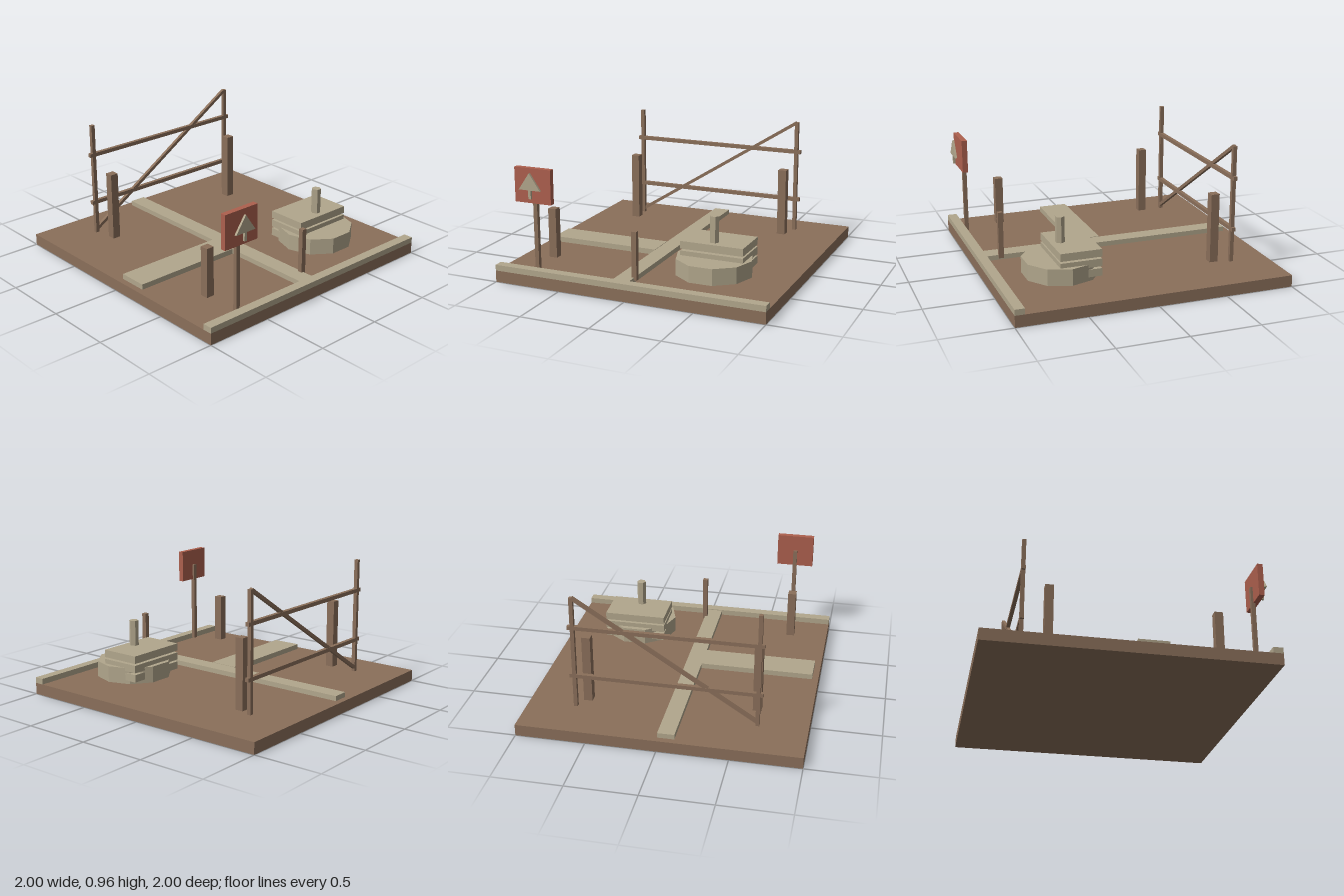
import * as THREE from 'three';

export function createModel() {
  const model = new THREE.Group();
  model.name = 'yard';

  const makeMaterial = (name, color) => {
    const m = new THREE.MeshStandardMaterial({ color, flatShading: true });
    m.name = name;
    return m;
  };
  const earth = makeMaterial('earth brown', 0x8a6f5a);
  const sand = makeMaterial('pale sand', 0xb1a68c);
  const red = makeMaterial('brick red', 0xad604e);

  const add = (name, geometry, material, x = 0, y = 0, z = 0, parent = model) => {
    const mesh = new THREE.Mesh(geometry, material);
    mesh.name = name;
    mesh.position.set(x, y, z);
    parent.add(mesh);
    return mesh;
  };
  // Box given by its minimum and maximum on each axis
  const box = (name, material, [x0, x1], [y0, y1], [z0, z1], parent = model) =>
    add(name, new THREE.BoxGeometry(x1 - x0, y1 - y0, z1 - z0), material,
      (x0 + x1) / 2, (y0 + y1) / 2, (z0 + z1) / 2, parent);
  // Square upright post
  const post = (name, x, z, size, y0, y1, parent = model) =>
    box(name, earth, [x - size / 2, x + size / 2], [y0, y1], [z - size / 2, z + size / 2], parent);

  // Ground slab, front kerb and the two paths
  box('ground', earth, [-1, 1], [0, 0.084], [-1, 1]);
  box('kerb', sand, [-1, 1], [0.084, 0.126], [0.93, 1]);
  box('longPath', sand, [-0.12, 0], [0.084, 0.12], [-0.955, 0.93]);
  box('crossPath', sand, [-0.955, -0.12], [0.084, 0.123], [0.03, 0.245]);

  // Free-standing posts: x, z, size, bottom, top
  [
    [-0.623, -0.512, 0.06, 0.12, 0.625],
    [0.582, -0.58, 0.062, 0.1, 0.605],
    [-0.72, 0.65, 0.06, 0.12, 0.48],
    [0, 0.825, 0.036, 0.1, 0.445],
  ].forEach(([x, z, size, y0, y1]) => post('post', x, z, size, y0, y1));

  // Braced frame at the back
  const frame = new THREE.Group();
  frame.name = 'backFrame';
  model.add(frame);
  const frameZ = -0.697;
  for (const x of [-0.65, 0.645]) post('framePost', x, frameZ, 0.028, 0.105, 0.955, frame);
  for (const y of [0.35, 0.726]) {
    box('rail', earth, [-0.685, 0.68], [y - 0.014, y + 0.014], [frameZ - 0.014, frameZ + 0.014], frame);
  }
  const start = new THREE.Vector2(-0.65, 0.13);
  const end = new THREE.Vector2(0.642, 0.952);
  const span = end.clone().sub(start);
  const brace = add('diagonalBrace', new THREE.BoxGeometry(span.length(), 0.024, 0.024), earth,
    (start.x + end.x) / 2, (start.y + end.y) / 2, frameZ, frame);
  brace.rotation.z = span.angle();

  // Ten-sided plinth with stacked slabs and a hexagonal pin
  const plinth = new THREE.Group();
  plinth.name = 'plinth';
  model.add(plinth);
  add('drum', new THREE.CylinderGeometry(0.273, 0.273, 0.118, 10), sand, 0.458, 0.177, 0.52, plinth)
    .rotation.y = Math.PI / 2;
  for (let i = 0; i < 3; i++) {
    const y = 0.145 + i * 0.069;
    box('slab', sand, [0.23, 0.69], [y, y + 0.055], [0.295, 0.592], plinth);
  }
  add('pin', new THREE.CylinderGeometry(0.034, 0.034, 0.325, 6), sand, 0.456, 0.3625, 0.52, plinth)
    .rotation.y = Math.PI / 2;

  // Sign with a raised arrow standing clear of the board
  const sign = new THREE.Group();
  sign.name = 'sign';
  model.add(sign);
  post('signPost', -0.702, 0.916, 0.03, 0.09, 0.72, sign);
  box('signBoard', red, [-0.84, -0.562], [0.595, 0.84], [0.917, 0.957], sign);
  const head = new THREE.Shape([
    new THREE.Vector2(-0.785, 0.696),
    new THREE.Vector2(-0.62, 0.696),
    new THREE.Vector2(-0.702, 0.816),
  ]);
  add('arrowHead', new THREE.ExtrudeGeometry(head, { depth: 0.016, bevelEnabled: false }), sand, 0, 0, 0.983, sign);
  box('arrowStem', sand, [-0.712, -0.692], [0.635, 0.696], [0.983, 0.999], sign);

  return model;
}
